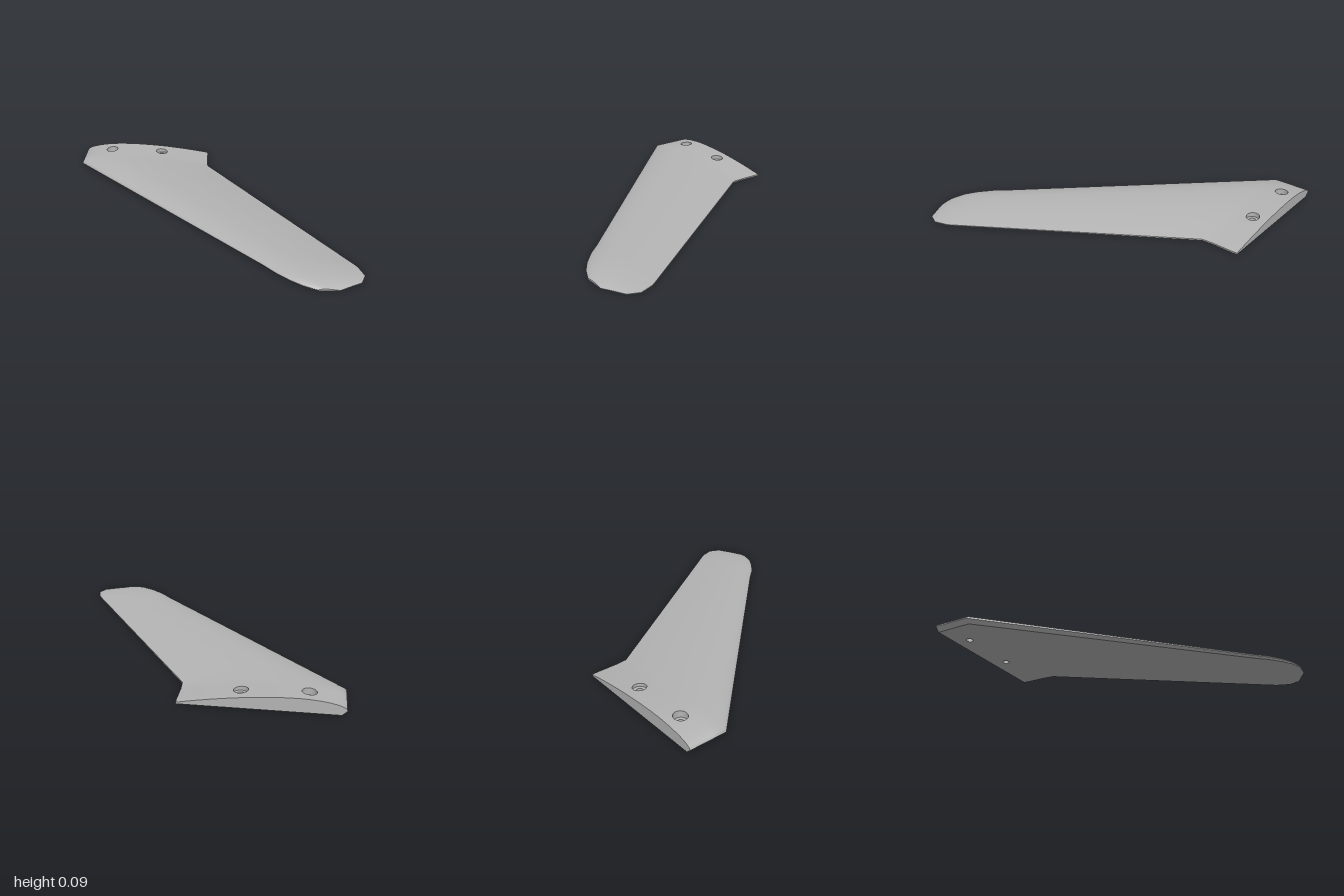
import * as THREE from 'three';

// Planform stations: leading edge x, z, trailing edge x, z, thickness taper
const STATIONS = [[-1, -0.945, -0.01, -0.97, 1]];
for (let k = 0; k <= 6; k++) { // fine rows around the screw holes
  const d = k * 0.14 / 6;
  STATIONS.push([-1, -0.915 + d, -0.007, -0.93 + d, 1]);
}
for (let k = 0; k <= 6; k++) { // straight swept panel
  const t = k / 6;
  STATIONS.push([-1 + 1.35 * t, -0.69 + 1.38 * t, 0.957 * t, -0.71 + 1.4 * t, 1]);
}
STATIONS.push( // rounded tip
  [0.372, 0.712, 0.97, 0.712, 1],
  [0.455, 0.805, 1, 0.805, 0.98],
  [0.54, 0.88, 0.97, 0.88, 0.85],
  [0.615, 0.93, 0.89, 0.925, 0.66],
  [0.7, 0.965, 0.83, 0.96, 0.3]
);

// Chordwise sampling, with six even cells across each hole
const U = [0, 0.004, 0.012, 0.03, 0.06, 0.1];
for (let k = 0; k <= 6; k++) U.push(0.15 + k * 0.14 / 6);
U.push(0.36, 0.45);
for (let k = 0; k <= 6; k++) U.push(0.553 + k * 0.14 / 6);
U.push(0.78, 0.88, 1);

const HOLES = [
  { x: -0.78, z: -0.845, i0: 6, j0: 1 },
  { x: -0.38, z: -0.855, i0: 15, j0: 1 },
];
const CELLS = 6, BORE = 0.023, COUNTERBORE = 0.045, FLOOR = 0.04, UNDERCUT = 0.03;

const thickness = z => 0.0655 - 0.0255 * z;

// Upper airfoil curve: elliptical nose, then a falling tail with a blunt edge
function airfoil(u) {
  if (u < 0.3) return 0.33 + 0.67 * Math.sqrt(Math.max(0, 1 - ((0.3 - u) / 0.3) ** 2));
  return 1 - 0.88 * ((u - 0.3) / 0.7) ** 1.7;
}

function skinPoint([lx, lz, rx, rz, taper], u, top) {
  const v = top ? u : UNDERCUT + (1 - UNDERCUT) * u;
  const z = lz + (rz - lz) * v;
  return [lx + (rx - lx) * v, top ? thickness(z) * taper * airfoil(u) : 0, z];
}

// Joins rows of points into faces; skip(i, j) leaves cells open
function addLoft(data, rows, flip = false, skip = () => false) {
  const start = data.points.length, n = rows[0].length;
  rows.forEach(r => data.points.push(...r));
  for (let j = 0; j < rows.length - 1; j++) {
    for (let i = 0; i < n - 1; i++) {
      if (skip(i, j)) continue;
      const a = start + j * n + i, b = a + n, c = a + 1, d = b + 1;
      data.index.push(...(flip ? [a, c, b, c, d, b] : [a, b, c, c, b, d]));
    }
  }
}

function toGeometry(data) {
  // weld equal points so the shading stays smooth across patches
  const ids = new Map(), pos = [];
  const remap = data.points.map(p => {
    const key = p.map(v => v.toFixed(5)).join();
    if (!ids.has(key)) { ids.set(key, ids.size); pos.push(...p); }
    return ids.get(key);
  });
  const g = new THREE.BufferGeometry();
  g.setAttribute('position', new THREE.Float32BufferAttribute(pos, 3));
  g.setIndex(data.index.map(i => remap[i]));
  g.computeVertexNormals();
  return g;
}

export function createModel() {
  const group = new THREE.Group();
  group.name = 'fin';
  const grey = new THREE.MeshStandardMaterial({ color: 0xb4b4b4 });
  grey.name = 'grey plastic';

  const addMesh = (name, build) => {
    const data = { points: [], index: [] };
    build(data);
    const mesh = new THREE.Mesh(toGeometry(data), grey);
    mesh.name = name;
    group.add(mesh);
  };

  const top = STATIONS.map(s => U.map(u => skinPoint(s, u, true)));
  const bottom = STATIONS.map(s => U.map(u => skinPoint(s, u, false)));

  // Closed loop of grid points around the cells left open for a hole
  const perimeter = (grid, { i0, j0 }) => {
    const loop = [], i1 = i0 + CELLS, j1 = j0 + CELLS;
    for (let i = i0; i < i1; i++) loop.push(grid[j0][i]);
    for (let j = j0; j < j1; j++) loop.push(grid[j][i1]);
    for (let i = i1; i > i0; i--) loop.push(grid[j1][i]);
    for (let j = j1; j >= j0; j--) loop.push(grid[j][i0]);
    return loop;
  };
  // Circle whose points line up with that loop
  const circle = (hole, r, height) => perimeter(top, hole).map(p => {
    const a = Math.atan2(p[2] - hole.z, p[0] - hole.x);
    const x = hole.x + r * Math.cos(a), z = hole.z + r * Math.sin(a);
    return [x, height(x, z), z];
  });
  const surfaceY = (x, z) => thickness(z) * airfoil((x + 1) / 0.994);
  const inHole = (i, j) => HOLES.some(h =>
    i >= h.i0 && i < h.i0 + CELLS && j >= h.j0 && j < h.j0 + CELLS);

  // Curved upper skin and flat underside
  addMesh('upperSkin', d => {
    addLoft(d, top, false, inHole);
    HOLES.forEach(h => addLoft(d, [perimeter(top, h), circle(h, COUNTERBORE, surfaceY)]));
  });
  addMesh('underside', d => {
    addLoft(d, bottom, true, inHole);
    HOLES.forEach(h => addLoft(d, [perimeter(bottom, h), circle(h, BORE, () => 0)], true));
  });

  // Edges that close the fin
  const last = STATIONS.length - 1, end = U.length - 1;
  addMesh('leadingEdgeBevel', d => addLoft(d, [top.map(r => r[0]), bottom.map(r => r[0])]));
  // the trailing edge is split at its kink to keep the corner crisp
  [['rootTrailingEdge', 0, 9], ['sweptTrailingEdge', 8, last + 1]].forEach(([name, a, b]) =>
    addMesh(name, d => addLoft(d, [bottom, top].map(g => g.slice(a, b).map(r => r[end])))));
  addMesh('rootFace', d => addLoft(d, [bottom[0], top[0]]));
  addMesh('tipFace', d => addLoft(d, [top[last], bottom[last]]));

  // Counterbored screw holes
  HOLES.forEach((h, k) => {
    const rim = circle(h, COUNTERBORE, surfaceY);
    const seat = circle(h, COUNTERBORE, () => FLOOR);
    const boreTop = circle(h, BORE, () => FLOOR);
    const boreEnd = circle(h, BORE, () => 0);
    addMesh(`counterboreWall${k + 1}`, d => addLoft(d, [rim, seat]));
    addMesh(`screwSeat${k + 1}`, d => addLoft(d, [seat, boreTop]));
    addMesh(`screwBore${k + 1}`, d => addLoft(d, [boreTop, boreEnd]));
  });

  return group;
}
